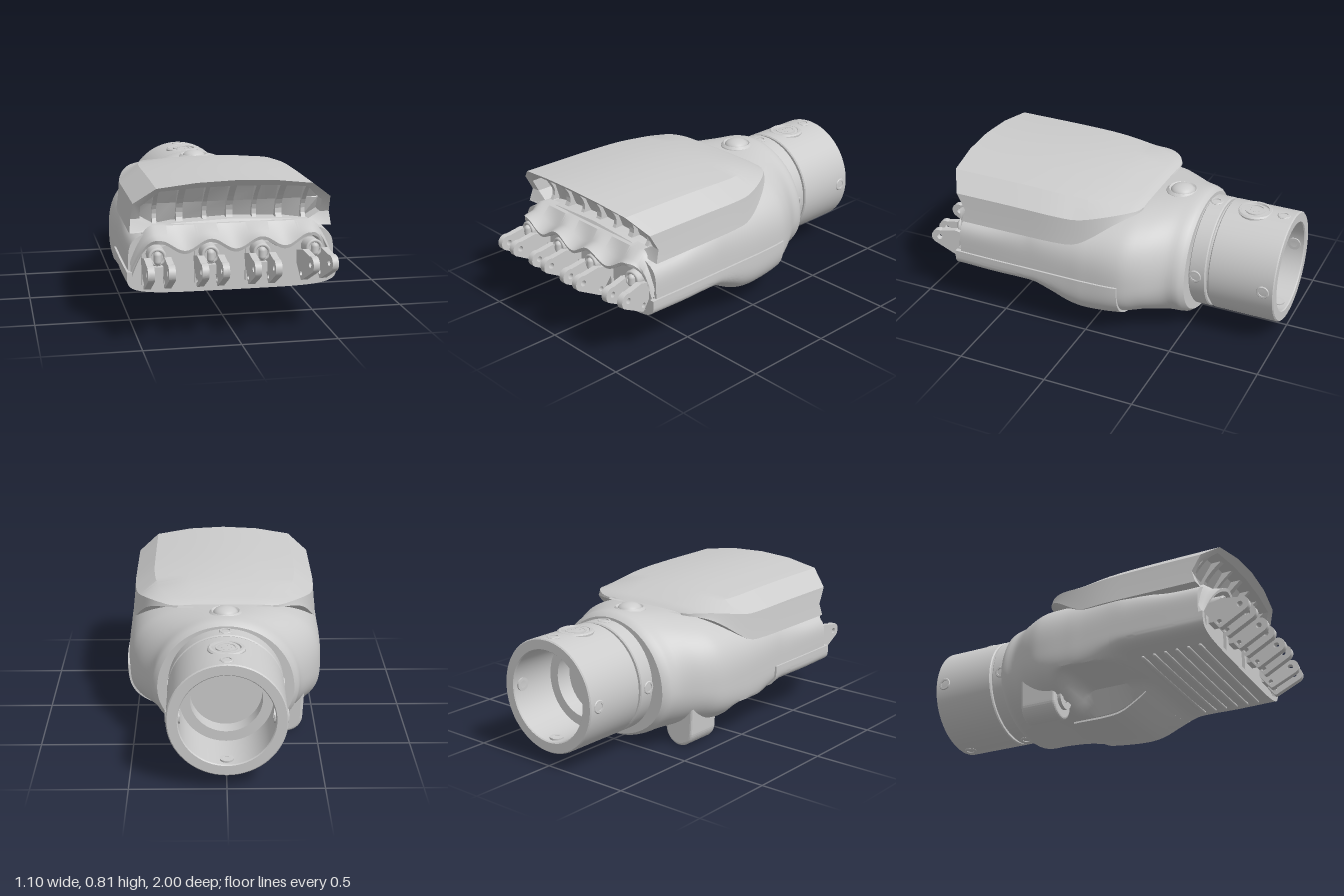
import * as THREE from 'three';
import { toCreasedNormals } from 'three/addons/utils/BufferGeometryUtils.js';

const mat = new THREE.MeshStandardMaterial({ color: 0xcccccc, side: THREE.DoubleSide });
const V = (x, y, z) => new THREE.Vector3(x, y, z);
const clamp = THREE.MathUtils.clamp;
const smooth = THREE.MathUtils.smoothstep;

function add(group, name, geo) {
  const m = new THREE.Mesh(geo, mat);
  m.name = name;
  group.add(m);
  return m;
}

// Smooth interpolation of table rows [key, a, b, ...]
function sample(T, key) {
  key = clamp(key, T[0][0], T[T.length - 1][0]);
  let i = 0;
  while (i < T.length - 2 && key > T[i + 1][0]) i++;
  const h = T[i + 1][0] - T[i][0], t = (key - T[i][0]) / h;
  const slope = (j, k) => {
    const a = T[Math.max(j - 1, 0)], b = T[Math.min(j + 1, T.length - 1)];
    return (b[k] - a[k]) / (b[0] - a[0]);
  };
  return T[i].slice(1).map((p, n) => {
    const k = n + 1, q = T[i + 1][k], t2 = t * t, t3 = t2 * t;
    return p * (2 * t3 - 3 * t2 + 1) + q * (3 * t2 - 2 * t3)
      + h * (slope(i, k) * (t3 - 2 * t2 + t) + slope(i + 1, k) * (t3 - t2));
  });
}

// Skin rows of points into a surface
function skin(rows, closed, crease = 0.6) {
  const n = rows[0].length, idx = [];
  for (let i = 0; i < rows.length - 1; i++)
    for (let j = 0; j < (closed ? n : n - 1); j++) {
      const k = (j + 1) % n, a = i * n + j, b = i * n + k;
      idx.push(a, b, b + n, a, b + n, a + n);
    }
  const g = new THREE.BufferGeometry().setFromPoints(rows.flat());
  g.setIndex(idx);
  return toCreasedNormals(g, crease);
}

// Palm sections: z, half width, top, bottom, top roundness, bottom roundness
const PALM = [
  [-0.52, 0.365, 0.695, 0.05, 2, 2], [-0.495, 0.39, 0.715, 0.035, 2, 2], [-0.42, 0.41, 0.72, 0.045, 2.1, 2.1],
  [-0.3, 0.485, 0.71, 0.07, 2.4, 2.4], [-0.2, 0.525, 0.7, 0.08, 2.7, 3], [0, 0.538, 0.68, 0.08, 3, 3.5],
  [0.1, 0.538, 0.67, 0.095, 3.2, 3.5], [0.2, 0.538, 0.66, 0.15, 3.5, 3.5], [0.29, 0.538, 0.64, 0.212, 4, 4],
  [0.36, 0.538, 0.62, 0.228, 4, 4.5], [0.55, 0.538, 0.56, 0.232, 5, 5], [0.75, 0.535, 0.55, 0.235, 5, 5]];
const MID = 0.34;
function palmPoint(z, a, off = 0) {
  const [w, top, bot, nt, nb] = sample(PALM, z);
  const c = Math.cos(a), s = Math.sin(a), n = s > 0 ? nt : nb;
  const r = Math.pow(Math.abs(c) ** n + Math.abs(s) ** n, -1 / n);
  const x = c * r * (w + off);
  let y = MID + s * r * ((s > 0 ? top - MID : MID - bot) + off);
  // hollow beside the thumb
  if (y < 0.21) y += (0.21 - y) * smooth(-x, 0.1, 0.19) * smooth(z, -0.14, -0.03);
  return V(x, y, z);
}
function palmPatch(z0, z1, a0, a1, off) {
  const rows = [], N = 28, M = 48;
  for (let i = -1; i <= N + 1; i++) {
    const row = [], z = z0 + (z1 - z0) * clamp(i / N, 0, 1);
    for (let j = -1; j <= M + 1; j++) {
      const edge = i < 0 || j < 0 || i > N || j > M;
      row.push(palmPoint(z, a0 + (a1 - a0) * clamp(j / M, 0, 1), edge ? -0.015 : off));
    }
    rows.push(row);
  }
  return skin(rows, false, 0.7);
}

// Curved front edge of the top cover: y -> z
const EDGE = [[0.5, 0.76], [0.54, 0.73], [0.6, 0.715], [0.69, 0.765], [0.775, 0.83], [0.81, 0.86]];
const edgeZ = y => sample(EDGE, y)[0];
const CROWN = [[-0.24, 0.712], [-0.2, 0.732], [0, 0.778], [0.3, 0.802], [0.86, 0.81]];
const mirrorLoop = half => [...half, ...half.slice(1, -1).reverse().map(([x, y]) => [-x, y])];

function coverGeometry() {
  const outer = mirrorLoop([[0, 0.55], [0.42, 0.535], [0.525, 0.53], [0.517, 0.6], [0.51, 0.69], [0.4, 0.775], [0.2, 0.802], [0, 0.81]]);
  const inner = mirrorLoop([[0, 0.58], [0.3, 0.568], [0.39, 0.555], [0.47, 0.6], [0.47, 0.67], [0.38, 0.755], [0.19, 0.77], [0, 0.775]]);
  const rows = [];
  for (let i = 0; i <= 30; i++) {
    const t = (i / 30) ** 1.5;
    rows.push(outer.map(([x, y]) => {
      const z = -0.24 + t * (edgeZ(y) + 0.24);
      const u = clamp((0.3 - z) / 0.54, 0, 1);
      const k = 0.5 + 0.5 * Math.sqrt(1 - u ** 2.5);
      const low = 0.53 + 0.165 * smooth(-z, -0.1, 0.24);
      return V(x * k, low + (y - 0.53) / 0.28 * (sample(CROWN, z)[0] - low), z);
    }));
  }
  rows.push(inner.map(([x, y]) => V(x, y, edgeZ(y) - 0.005)));
  rows.push(inner.map(([x, y]) => V(x, y, edgeZ(y) - 0.09)));
  rows.push(inner.map(([x]) => V(x, 0.665, 0.665)));
  return skin(rows, true, 0.45);
}

// Scalloped hood over the finger joints
function hoodGeometry() {
  const rows = [];
  for (let i = 0; i <= 90; i++) {
    const x = -0.525 + 1.05 * i / 90, e = Math.max(0, Math.abs(x) - 0.4);
    const y = e > 0 ? 0.51 - 0.17 * (e / 0.12) ** 2 : 0.482 + 0.028 * Math.cos(2 * Math.PI * (x - 0.13) / 0.26);
    const z = 0.865 - 0.75 * e - 0.04 * smooth(x, 0.1, 0.45);
    const top = 0.565 - 1.2 * e * e / 0.12;
    rows.push([V(x, top, 0.68), V(x, top, 0.74), V(x, y * 0.65 + top * 0.35, 0.79 - 0.2 * e), V(x, y + 0.008, z),
      V(x, y - 0.01, z - 0.005), V(x * 0.985, y - 0.018, 0.78 - 0.2 * e), V(x * 0.98, y - 0.02, 0.72)]);
  }
  return skin(rows, false, 0.8);
}

// Side outline in (z, y) extruded across x
function plate(shape, width) {
  const g = new THREE.ExtrudeGeometry(shape, { depth: width, bevelEnabled: false, curveSegments: 12 });
  return g.translate(0, 0, -width / 2).rotateY(-Math.PI / 2);
}
const hole = (x, y, r) => new THREE.Path().absarc(x, y, r, 0, Math.PI * 2, true);

function fingerMount(x, turn) {
  const g = new THREE.Group();
  g.name = 'fingerMount';
  const s = new THREE.Shape();
  s.moveTo(-0.02, 0.27);
  s.absarc(0.085, 0.3, 0.035, -Math.PI / 2, -0.9, false);
  s.absarc(0.205, 0.375, 0.043, -0.9, 1.9, false);
  s.lineTo(0.1, 0.43);
  s.lineTo(-0.02, 0.4);
  s.holes.push(hole(0.2, 0.375, 0.016), hole(0.085, 0.3, 0.014));
  for (const side of [-1, 1]) add(g, 'jointLug', plate(s, 0.034)).position.x = side * 0.052;
  add(g, 'mountPlate', new THREE.BoxGeometry(0.136, 0.2, 0.03).translate(0, 0.365, 0));
  add(g, 'crossBlock', new THREE.BoxGeometry(0.08, 0.05, 0.07).translate(0, 0.345, 0.03));
  add(g, 'jointBoss', new THREE.CylinderGeometry(0.045, 0.048, 0.09, 24).rotateX(Math.PI / 2).translate(0, 0.43, 0.045));
  add(g, 'bossRing', new THREE.TorusGeometry(0.038, 0.009, 8, 24).translate(0, 0.43, 0.09));
  add(g, 'jointStud', new THREE.CapsuleGeometry(0.02, 0.03, 4, 12).translate(0, 0.425, 0.095));
  g.position.set(x, 0, 0.752);
  g.rotation.y = turn;
  return g;
}

function lathe(points, seg = 48) {
  return toCreasedNormals(new THREE.LatheGeometry(points.map(p => new THREE.Vector2(...p)), seg), 0.5);
}

export function createModel() {
  const model = new THREE.Group();
  model.name = 'mechanicalPalm';

  // Palm body, closed at both ends
  const rows = [], N = 64, M = 96;
  for (let i = -1; i <= N + 1; i++) {
    const z = -0.52 + 1.27 * clamp(i / N, 0, 1), row = [];
    for (let j = 0; j < M; j++) row.push(i < 0 || i > N ? V(0, 0.38, z) : palmPoint(z, j / M * Math.PI * 2));
    rows.push(row);
  }
  add(model, 'palmBody', skin(rows, true, 0.7));

  // Grip pads and ridges on the palm side
  add(model, 'frontGripPad', palmPatch(0.25, 0.78, -Math.PI, 0, 0.011));
  add(model, 'sideGripPad', palmPatch(-0.2, 0.25, -Math.PI / 2 - 0.18, 0, 0.011));
  for (let i = 0; i < 6; i++)
    add(model, 'gripRidge', new THREE.CapsuleGeometry(0.009, 0.82, 4, 8).rotateZ(Math.PI / 2).translate(0, 0.222, 0.38 + i * 0.065));

  // Top cover with ribs in its open front
  add(model, 'topCover', coverGeometry());
  [-0.39, -0.26, -0.13, 0, 0.13, 0.26, 0.39].forEach((x, i) => {
    const top = 0.776 - 0.14 * x * x, s = new THREE.Shape();
    s.moveTo(0.62, 0.565);
    for (let k = 0; k <= 8; k++) {
      const y = 0.565 + (top - 0.565) * k / 8;
      s.lineTo(edgeZ(y) - 0.035 - 0.025 * Math.sin(Math.PI * k / 8), y);
    }
    s.lineTo(0.7, top);
    s.lineTo(0.62, 0.66);
    add(model, 'coverRib', plate(s, i % 2 ? 0.034 : 0.022)).position.x = x;
  });

  // Finger joints
  add(model, 'knuckleHood', hoodGeometry());
  [-0.4, -0.13, 0.135, 0.405].forEach((x, i) => {
    const f = fingerMount(x, i === 3 ? 0.14 : 0);
    if (i === 3) f.position.z -= 0.035;
    model.add(f);
  });

  // Thumb mount
  const thumb = new THREE.Shape();
  thumb.moveTo(-0.42, 0.28);
  thumb.lineTo(-0.41, 0.09);
  thumb.absarc(-0.335, 0.09, 0.075, Math.PI, Math.PI * 2, false);
  thumb.quadraticCurveTo(-0.24, 0.11, -0.16, 0.13);
  thumb.lineTo(-0.15, 0.28);
  add(model, 'thumbMount', new THREE.ExtrudeGeometry(thumb, { depth: 0.18, bevelSize: 0.015, bevelThickness: 0.015, bevelSegments: 3 }).translate(0, 0, -0.335));
  const u = new THREE.Shape();
  u.moveTo(-0.395, 0.22);
  u.lineTo(-0.395, 0.115);
  u.absarc(-0.335, 0.115, 0.06, Math.PI, Math.PI * 2, false);
  u.lineTo(-0.275, 0.22);
  u.holes.push(hole(-0.335, 0.115, 0.025));
  add(model, 'thumbPivot', new THREE.ExtrudeGeometry(u, { depth: 0.03, bevelEnabled: false }).translate(0, 0, -0.15));
  add(model, 'thumbPin', new THREE.CylinderGeometry(0.02, 0.02, 0.05, 20).rotateX(Math.PI / 2).translate(-0.335, 0.115, -0.15));
  add(model, 'thumbArm', new THREE.BoxGeometry(0.16, 0.04, 0.06).translate(-0.22, 0.2, -0.1));

  // Button on the back of the hand
  add(model, 'buttonCollar', lathe([[0.1, -0.04], [0.088, 0], [0.075, 0.012], [0.066, 0.005]])).position.set(0, 0.712, -0.36);
  add(model, 'button', new THREE.SphereGeometry(0.066, 32, 12, 0, Math.PI * 2, 0, Math.PI / 2).scale(1, 0.55, 1)).position.set(0, 0.71, -0.36);

  // Wrist: ring, groove and hollow tube in one turned profile, axis to the back
  const wrist = new THREE.Group();
  wrist.name = 'wrist';
  wrist.position.y = 0.38;
  model.add(wrist);
  add(wrist, 'wristTube', lathe([[0, 0.64], [0.19, 0.64], [0.19, 0.73], [0.245, 0.73], [0.245, 0.994], [0.25, 1], [0.3, 1], [0.306, 0.994],
    [0.306, 0.638], [0.3, 0.632], [0.285, 0.632], [0.285, 0.618], [0.3, 0.618], [0.306, 0.612], [0.306, 0.53], [0.296, 0.524], [0.296, 0.5]].reverse(), 64).rotateX(-Math.PI / 2));
  for (let q = 0; q < 4; q++) {
    const side = new THREE.Group();
    side.name = 'screwHoles';
    side.rotation.z = q * Math.PI / 2;
    wrist.add(side);
    for (const z of [-0.56, -0.94])
      add(side, 'screwHole', lathe([[0.02, 0.235], [0.036, 0.235], [0.036, 0.306], [0.032, 0.31], [0.022, 0.31], [0.02, 0.29], [0, 0.29]].reverse(), 24)).position.z = z;
  }

  // Round port on top of the wrist
  const port = new THREE.Group();
  port.name = 'port';
  port.position.set(0, 0.675, -0.78);
  model.add(port);
  add(port, 'portBody', lathe([[0.097, -0.03], [0.097, 0.005], [0.088, 0.012], [0.075, 0.012], [0.07, 0], [0.058, 0], [0.055, 0.012], [0.045, 0.012], [0.042, -0.002], [0, -0.002]]));
  for (let i = 0; i < 7; i++) {
    const a = i * Math.PI / 3, r = i < 6 ? 0.024 : 0;
    add(port, 'portPin', new THREE.CylinderGeometry(0.006, 0.006, 0.018, 10).translate(r * Math.cos(a), 0.002, r * Math.sin(a)));
  }
  return model;
}
